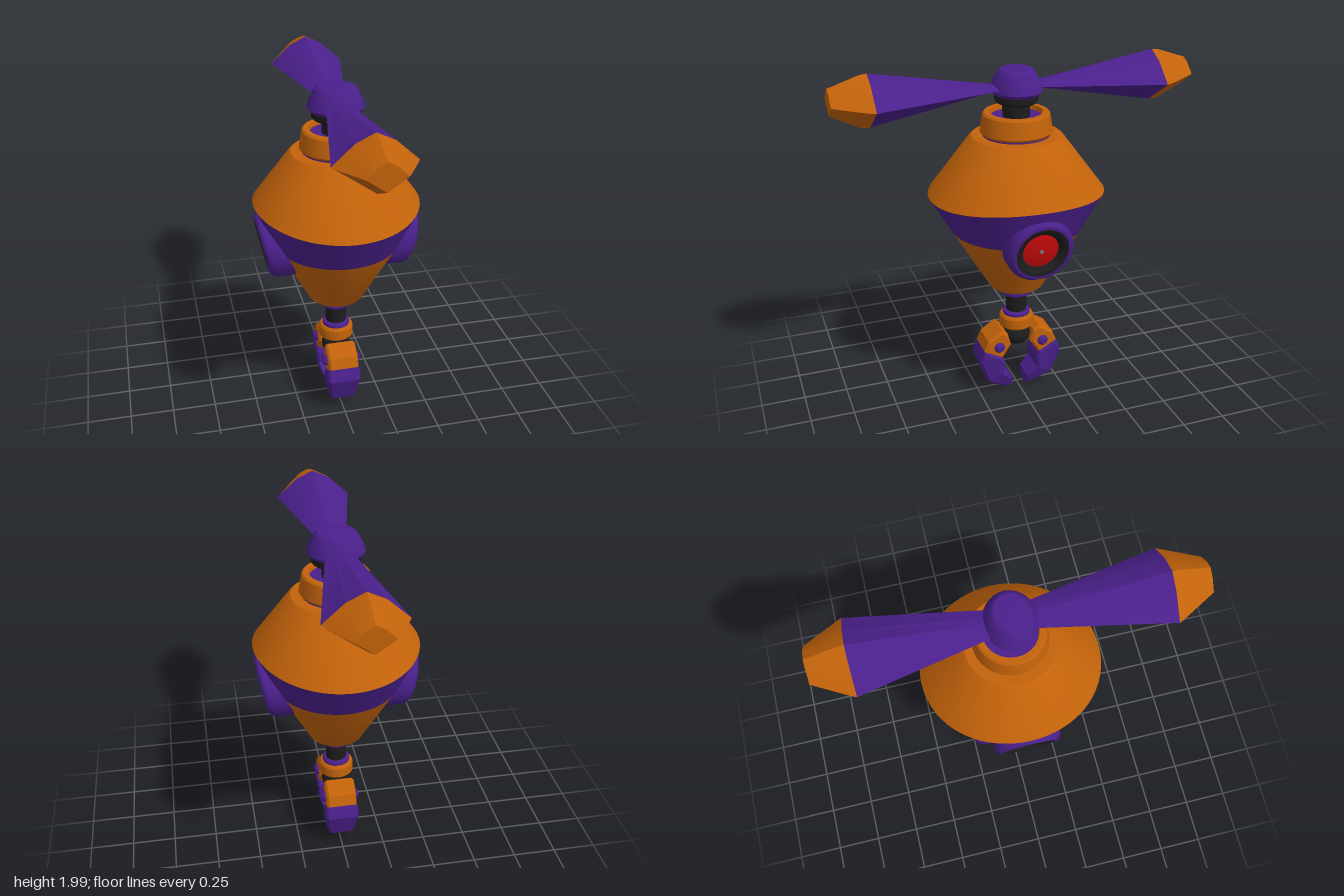
import * as THREE from 'three';
import { toCreasedNormals } from 'three/addons/utils/BufferGeometryUtils.js';

const mat = (name, color) => {
  const m = new THREE.MeshStandardMaterial({ color });
  m.name = name;
  return m;
};

export function createModel() {
  const orange = mat('orange', 0xc2620a);
  const purple = mat('purple', 0x4a208c);
  const black = mat('black', 0x1c1c1c);
  const red = mat('red', 0xc80a0a);
  const grey = mat('grey', 0x808080);
  const model = new THREE.Group();
  model.name = 'flyingRobot';

  const add = (parent, name, geo, material) => {
    const mesh = new THREE.Mesh(geo, material);
    mesh.name = name;
    parent.add(mesh);
    return mesh;
  };
  const warp = (geo, rule) => {
    const p = geo.attributes.position, v = new THREE.Vector3();
    for (let i = 0; i < p.count; i++) {
      rule(v.fromBufferAttribute(p, i));
      p.setXYZ(i, v.x, v.y, v.z);
    }
    return geo;
  };
  // Profile of [radius, y] pairs, listed upwards along the outside
  const lathe = (profile, segments = 40) =>
    new THREE.LatheGeometry(profile.map(([r, y]) => new THREE.Vector2(r, y)), segments);
  const crease = (geo) => toCreasedNormals(geo, 0.4);
  const turned = (parent, name, profile, material, segments) =>
    add(parent, name, crease(lathe(profile, segments)), material);

  // Body: a double cone, slightly narrower and higher at the sides of its waist
  const waist = 1.265;
  const bodyPart = (name, profile, material) => {
    const geo = warp(lathe(profile, 64), (v) => {
      const r = Math.hypot(v.x, v.z);
      if (r < 1e-4) return;
      const side = (v.x / r) ** 2;
      const t = v.y > waist ? (1.59 - v.y) / (1.59 - waist) : (v.y - 0.68) / (waist - 0.68);
      const s = 1 - 0.066 * side * Math.max(0, t);
      v.x *= s;
      v.z *= s;
      if (Math.abs(v.y - waist) < 0.001) v.y += 0.038 * side;
    });
    add(model, name, crease(geo), material);
  };
  bodyPart('lowerBody', [[0, 0.68], [0.145, 0.68], [0.158, 0.69], [0.372, 1.055]], orange);
  bodyPart('bodyBand', [[0.372, 1.055], [0.495, waist]], purple);
  bodyPart('upperBody', [[0.495, waist], [0.26, 1.58], [0.245, 1.592], [0, 1.592]], orange);

  // Neck and rotor shaft
  turned(model, 'neckSeat', [[0.185, 1.585], [0.185, 1.606], [0, 1.606]], purple);
  turned(model, 'neckCollar', [[0.15, 1.602], [0.19, 1.602], [0.2, 1.615], [0.184, 1.71],
    [0.175, 1.72], [0.145, 1.72], [0.14, 1.69]], orange);
  turned(model, 'neckFloor', [[0.143, 1.695], [0, 1.695]], purple);
  turned(model, 'rotorShaft', [[0.075, 1.68], [0.075, 1.8]], black);

  // Rotor disc and hub, a little wider across the blades
  const rotorPart = (name, profile, material) =>
    add(model, name, crease(warp(lathe(profile), (v) => { v.x *= 1.12; })), material);
  rotorPart('rotorDisc', [[0, 1.775], [0.108, 1.775], [0.118, 1.787], [0.118, 1.822], [0, 1.822]], black);
  rotorPart('rotorHub', [[0, 1.82], [0.125, 1.82], [0.14, 1.84], [0.13, 1.88],
    [0.1, 1.94], [0.085, 1.953], [0, 1.956]], purple);

  // Rotor blades: lofts through six-sided sections [z, half width, widest y, top, bottom]
  const loft = (sections) => {
    const pos = [], index = [];
    for (const [z, w, mid, top, bottom] of sections) {
      const shoulder = mid + (top - mid) * 0.7;
      pos.push(w, mid, z, w * 0.45, shoulder, z, 0, top, z,
        -w * 0.45, shoulder, z, -w, mid, z, 0, bottom, z);
    }
    for (let s = 0; s < sections.length - 1; s++) {
      for (let i = 0; i < 6; i++) {
        const a = s * 6 + i, b = s * 6 + (i + 1) % 6;
        index.push(a, b, b + 6, a, b + 6, a + 6);
      }
    }
    const end = (sections.length - 1) * 6;
    for (let i = 1; i < 5; i++) index.push(end, end + i, end + i + 1);
    const geo = new THREE.BufferGeometry();
    geo.setAttribute('position', new THREE.Float32BufferAttribute(pos, 3));
    geo.setIndex(index);
    return toCreasedNormals(geo, 0.5);
  };
  const joint = [0.795, 0.21, 1.845, 1.995, 1.712];
  for (const turn of [0, Math.PI]) {
    const blade = new THREE.Group();
    blade.name = turn ? 'backBlade' : 'frontBlade';
    blade.rotation.y = turn;
    add(blade, 'blade', loft([[0.06, 0.065, 1.86, 1.87, 1.845], [0.13, 0.08, 1.86, 1.88, 1.838], joint]), purple);
    add(blade, 'bladeTip', loft([joint, [0.835, 0.19, 1.845, 1.99, 1.71], [1, 0.1, 1.86, 1.935, 1.79]]), orange);
    model.add(blade);
  }

  // Side eyes: turned pods laid along x, sheared so that the face looks downwards
  const eyeY = 1.06;
  for (const side of [1, -1]) {
    const eye = new THREE.Group();
    eye.name = side > 0 ? 'leftEye' : 'rightEye';
    if (side < 0) eye.rotation.y = Math.PI;
    const eyePart = (name, profile, material) => {
      const geo = lathe(profile, 32).rotateZ(-Math.PI / 2);
      warp(geo, (v) => {
        v.x += v.y * 0.2;
        v.y = Math.max(0.885, v.y + eyeY);
      });
      add(eye, name, crease(geo), material);
    };
    eyePart('eyePod', [[0.18, 0.12], [0.188, 0.39], [0.18, 0.412], [0.165, 0.425], [0.148, 0.427]], purple);
    eyePart('eyeRim', [[0.148, 0.427], [0.13, 0.423], [0.1, 0.39]], black);
    eyePart('eyeLens', [[0.101, 0.392], [0.06, 0.402], [0, 0.405]], red);
    eyePart('pupil', [[0.012, 0.404], [0.012, 0.408], [0, 0.408]], grey);
    model.add(eye);
  }

  // Arm below the body
  turned(model, 'armSocket', [[0, 0.62], [0.08, 0.62], [0.095, 0.635], [0.095, 0.69]], purple, 24);
  turned(model, 'armRod', [[0.06, 0.48], [0.06, 0.65]], black, 24);
  turned(model, 'wristRing', [[0.08, 0.48], [0.08, 0.505], [0.07, 0.515], [0, 0.515]], purple, 24);
  turned(model, 'wrist', [[0, 0.408], [0.09, 0.408], [0.102, 0.42], [0.1, 0.475], [0.09, 0.49], [0, 0.49]], orange, 24);
  turned(model, 'clawMount', [[0, 0.293], [0.055, 0.297], [0.08, 0.325], [0.085, 0.355],
    [0.075, 0.385], [0.06, 0.41]], black, 24);

  // Claws: bevelled outlines of [z, y] points, narrowing to the tip
  const bevel = 0.012;
  const plate = (outline, half) => {
    const shape = new THREE.Shape(outline.map(([z, y]) => new THREE.Vector2(z, y)));
    const geo = new THREE.ExtrudeGeometry(shape, {
      depth: 2 * (half - bevel), bevelEnabled: true, bevelSegments: 1,
      bevelThickness: bevel, bevelSize: bevel, bevelOffset: -bevel,
    });
    geo.translate(0, 0, bevel - half).rotateY(-Math.PI / 2);
    warp(geo, (v) => { v.x *= Math.min(1, 0.45 + 4 * v.y); });
    return toCreasedNormals(geo, 0.3);
  };
  for (const turn of [0, Math.PI]) {
    const claw = new THREE.Group();
    claw.name = turn ? 'backClaw' : 'frontClaw';
    claw.rotation.y = turn;
    add(claw, 'knuckle', plate([[0.06, 0.315], [0.115, 0.23], [0.228, 0.29], [0.2, 0.36],
      [0.115, 0.415], [0.08, 0.39]], 0.088), orange);
    add(claw, 'finger', plate([[0.113, 0.24], [0.098, 0.2], [0.105, 0.13], [0.045, 0.072], [0.045, 0.003],
      [0.1, 0.015], [0.2, 0.075], [0.25, 0.225], [0.226, 0.3]], 0.096), purple);
    const bolt = lathe([[0, -0.112], [0.02, -0.11], [0.033, -0.095], [0.033, 0.095], [0.02, 0.11], [0, 0.112]], 8);
    add(claw, 'hingeBolt', crease(bolt.rotateZ(Math.PI / 2).translate(0, 0.315, 0.135)), purple);
    model.add(claw);
  }
  return model;
}
